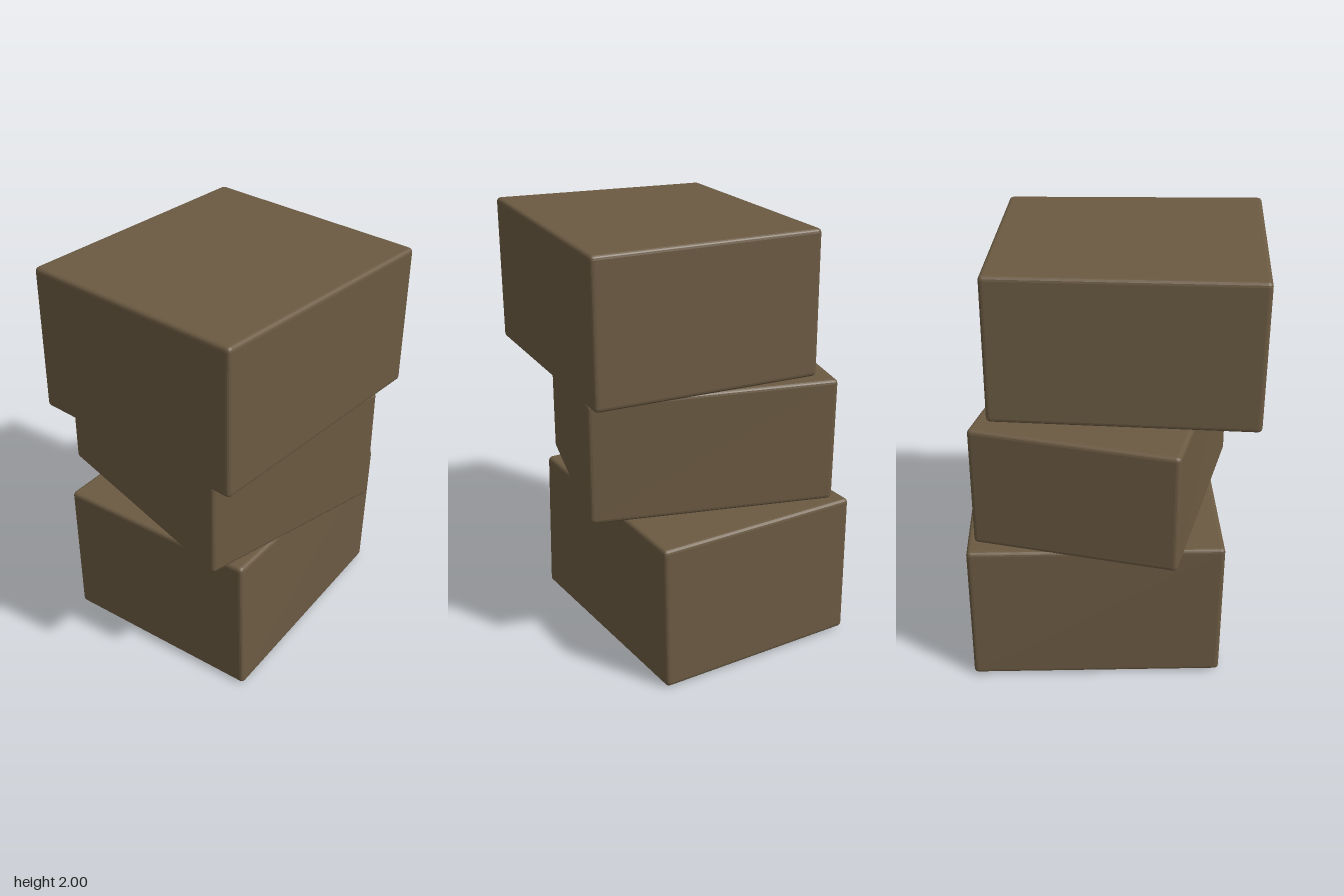
import * as THREE from 'three';
import { RoundedBoxGeometry } from 'three/addons/geometries/RoundedBoxGeometry.js';

// Each crate: corners run back-left, back-right, front-right, front-left,
// first around the bottom, then around the top.
const CRATES = [
  {
    name: 'bottomCrate', size: [1.17, 0.7, 1.01],
    bottom: [[-0.612, 0.005, -0.455], [0.542, 0.012, -0.678], [0.727, 0.006, 0.302], [-0.42, 0, 0.547]],
    top: [[-0.615, 0.712, -0.46], [0.545, 0.708, -0.672], [0.737, 0.705, 0.317], [-0.422, 0.712, 0.532]],
  },
  {
    name: 'middleCrate', size: [0.94, 0.59, 1.15],
    bottom: [[-0.415, 0.72, -0.678], [0.53, 0.715, -0.59], [0.422, 0.725, 0.553], [-0.535, 0.713, 0.463]],
    top: [[-0.415, 1.3, -0.68], [0.53, 1.306, -0.592], [0.425, 1.298, 0.555], [-0.532, 1.308, 0.465]],
  },
  {
    name: 'topCrate', size: [1.2, 0.68, 1.08],
    bottom: [[-0.738, 1.298, -0.407], [0.46, 1.308, -0.518], [0.575, 1.312, 0.562], [-0.638, 1.304, 0.675]],
    top: [[-0.74, 1.99, -0.402], [0.462, 1.985, -0.512], [0.58, 1.98, 0.567], [-0.64, 2.002, 0.678]],
  },
];

// Point on a four-cornered sheet, u across and w from back to front
function onQuad([bl, br, fr, fl], u, w) {
  const v = (p) => new THREE.Vector3(...p);
  return v(bl).lerp(v(br), u).lerp(v(fl).lerp(v(fr), u), w);
}

// Bevelled box whose eight corners are pulled slightly out of square
function crateGeometry({ size: [sx, sy, sz], bottom, top }) {
  const geometry = new RoundedBoxGeometry(sx, sy, sz, 2, 0.02);
  const pos = geometry.attributes.position;
  for (let i = 0; i < pos.count; i++) {
    const u = pos.getX(i) / sx + 0.5;
    const t = pos.getY(i) / sy + 0.5;
    const w = pos.getZ(i) / sz + 0.5;
    const p = onQuad(bottom, u, w).lerp(onQuad(top, u, w), t);
    pos.setXYZ(i, p.x, p.y, p.z);
  }
  geometry.computeVertexNormals();
  return geometry;
}

export function createModel() {
  const group = new THREE.Group();
  group.name = 'crateStack';
  const wood = new THREE.MeshStandardMaterial({ color: 0x6b5a42 });
  wood.name = 'brownWood';
  for (const crate of CRATES) {
    const mesh = new THREE.Mesh(crateGeometry(crate), wood);
    mesh.name = crate.name;
    group.add(mesh);
  }
  return group;
}
